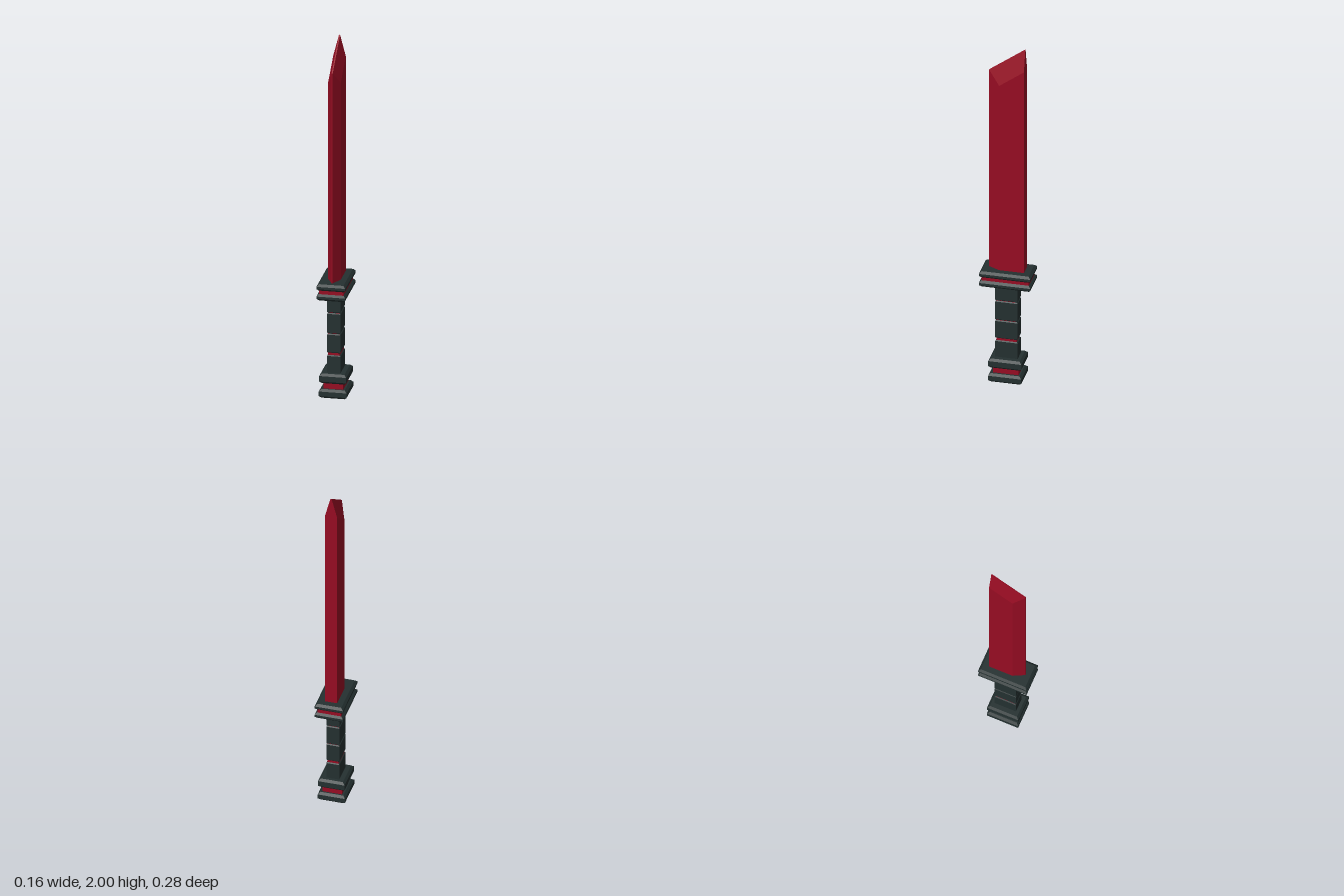
import * as THREE from 'three';

// Flat-shaded solid from rings of [x, y, z] corners, listed bottom to top,
// each counter-clockwise as seen from above; caps are quads of ring indices.
function loft(rings, caps) {
  const pos = [];
  const quad = (a, b, c, d) => pos.push(...a, ...b, ...c, ...a, ...c, ...d);
  const n = rings[0].length;
  for (let r = 0; r + 1 < rings.length; r++) {
    for (let i = 0; i < n; i++) {
      const j = (i + 1) % n;
      quad(rings[r][i], rings[r][j], rings[r + 1][j], rings[r + 1][i]);
    }
  }
  const low = rings[0], top = rings[rings.length - 1];
  for (const [a, b, c, d] of caps) {
    quad(top[a], top[b], top[c], top[d]);
    quad(low[d], low[c], low[b], low[a]);
  }
  const g = new THREE.BufferGeometry();
  g.setAttribute('position', new THREE.Float32BufferAttribute(pos, 3));
  g.computeVertexNormals();
  return g;
}

// Block with chamfered upper and lower rims
function chamferBlock(w, d, y0, y1, c) {
  const ring = (y, s) => [[-w + s, y, -d + s], [-w + s, y, d - s], [w - s, y, d - s], [w - s, y, -d + s]];
  return loft([ring(y0, c), ring(y0 + c, 0), ring(y1 - c, 0), ring(y1, c)], [[0, 1, 2, 3]]);
}

// Blade: square back, wedge edge at the front, slanted gabled tip
function bladeGeometry() {
  const w = 0.034, e = 0.003, back = -0.095, shoulder = 0.04, edge = 0.102;
  const outline = [[-w, back], [-w, shoulder], [-e, edge], [e, edge],
    [w, shoulder], [w, back], [e, back], [-e, back]];
  const slope = 0.737;
  const roof = (x, z) => (Math.abs(x) < w ? 2.0 : 1.88) - slope * (z - back);
  return loft([
    outline.map(([x, z]) => [x, 0.64, z]),
    outline.map(([x, z]) => [x, roof(x, z), z]),
  ], [[0, 1, 2, 7], [7, 2, 3, 6], [6, 3, 4, 5]]);
}

export function createModel() {
  const red = new THREE.MeshStandardMaterial({ color: 0x960c22 });
  red.name = 'crimson';
  const dark = new THREE.MeshStandardMaterial({ color: 0x243030 });
  dark.name = 'dark slate';

  const model = new THREE.Group();
  model.name = 'sword';
  const add = (name, geometry, material) => {
    const mesh = new THREE.Mesh(geometry, material);
    mesh.name = name;
    model.add(mesh);
  };

  add('blade', bladeGeometry(), red);

  // Guard: two plates around a red layer
  add('guardUpperPlate', chamferBlock(0.078, 0.14, 0.626, 0.663, 0.012), dark);
  add('guardInlay', chamferBlock(0.066, 0.129, 0.6, 0.634, 0.002), red);
  add('guardLowerPlate', chamferBlock(0.078, 0.14, 0.571, 0.608, 0.012), dark);

  // Grip: chamfered segments over a red core
  add('gripCore', chamferBlock(0.031, 0.055, 0.12, 0.59, 0.002), red);
  const segments = [[0.125, 0.237], [0.25, 0.358], [0.36, 0.476], [0.478, 0.585]];
  segments.forEach(([y0, y1], i) => {
    add('gripSegment' + (i + 1), chamferBlock(0.036, 0.061, y0, y1, 0.005), dark);
  });

  // Pommel: two blocks around a red neck
  add('pommelCollar', chamferBlock(0.073, 0.09, 0.083, 0.138, 0.012), dark);
  add('pommelNeck', chamferBlock(0.053, 0.07, 0.04, 0.09, 0.002), red);
  add('pommelCap', chamferBlock(0.075, 0.09, 0, 0.05, 0.012), dark);

  return model;
}
